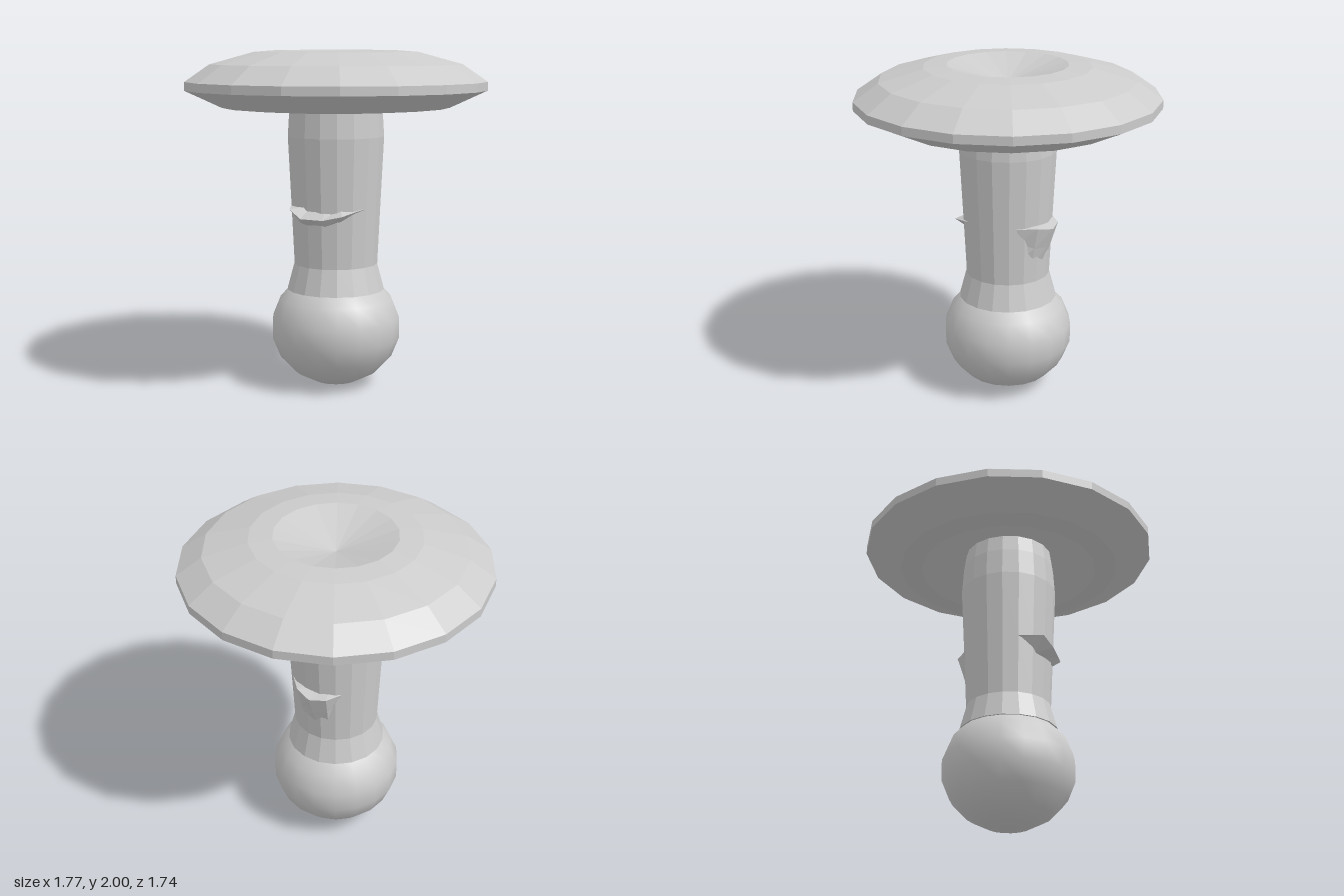
import * as THREE from 'three';

const SIDES = 18;
const flat = () => new THREE.MeshStandardMaterial({ color: 0xcccccc, flatShading: true, side: THREE.DoubleSide });

// Faceted turned part; profile runs [radius, y] from bottom to top, with a corner on +x
function turned(name, profile) {
  const geo = new THREE.LatheGeometry(profile.map(([r, y]) => new THREE.Vector2(r, y)), SIDES);
  geo.rotateY(Math.PI / 2);
  const mesh = new THREE.Mesh(geo, flat());
  mesh.name = name;
  return mesh;
}

// Torn skirt shelf: each section is an angle (degrees from +z towards +x)
// followed by [radius, y] points from the top inside edge to the bottom inside edge
function skirt(name, sections) {
  const rows = sections[0].length - 1;
  const pos = [];
  const index = [];
  for (const [deg, ...pts] of sections) {
    const a = THREE.MathUtils.degToRad(deg);
    for (const [r, y] of pts) pos.push(r * Math.sin(a), y, r * Math.cos(a));
  }
  for (let i = 0; i < sections.length - 1; i++) {
    for (let j = 0; j < rows - 1; j++) {
      const a = i * rows + j, b = a + rows;
      index.push(a, a + 1, b, b, a + 1, b + 1);
    }
  }
  const geo = new THREE.BufferGeometry();
  geo.setAttribute('position', new THREE.Float32BufferAttribute(pos, 3));
  geo.setIndex(index);
  geo.computeVertexNormals();
  const mesh = new THREE.Mesh(geo, flat());
  mesh.name = name;
  return mesh;
}

export function createModel() {
  const group = new THREE.Group();
  group.name = 'mushroom';

  // Smooth round bulb at the foot
  const bulb = new THREE.Mesh(
    new THREE.SphereGeometry(0.39, SIDES, 9),
    new THREE.MeshStandardMaterial({ color: 0xcccccc })
  );
  bulb.name = 'bulb';
  bulb.scale.y = 0.35 / 0.39;
  bulb.position.y = 0.35;
  group.add(bulb);

  // Stem, flared where it meets the bulb
  group.add(turned('stem', [
    [0.24, 0.585], [0.292, 0.585], [0.25, 0.74], [0.267, 1.1], [0.287, 1.5], [0.277, 1.66], [0.26, 1.78]
  ]));

  // Cap with hollow underside and dimpled top
  group.add(turned('cap', [
    [0.24, 1.77], [0.54, 1.66], [0.67, 1.67], [0.885, 1.77], [0.885, 1.82],
    [0.74, 1.92], [0.485, 1.99], [0.35, 2], [0, 1.89]
  ]));

  // Front skirt remnant
  const front = [
    [-50, 0.268, 1.09, 1.08], [-25, 0.335, 1.09, 1.0], [-10, 0.33, 1.04, 0.99],
    [14, 0.305, 1.035, 0.99], [35, 0.315, 1.06, 1.02], [66, 0.268, 1.09, 1.07]
  ];
  group.add(skirt('frontSkirt', front.map(([deg, r, lip, low]) =>
    [deg, [0.23, 1.1], [r, lip], [0.255, low]])));

  // Back skirt remnant, tapering further down the stem
  const back = [
    [140, 0.265, 1.09, 1.0], [163, 0.305, 1.09, 0.96], [182, 0.325, 1.07, 0.95],
    [200, 0.31, 1.08, 0.97], [218, 0.265, 1.09, 1.06]
  ];
  group.add(skirt('backSkirt', back.map(([deg, r, lip, mid]) =>
    [deg, [0.23, 1.1], [r, lip], [0.25 + (r - 0.265) * 0.55, mid], [0.24, mid - 0.12]])));

  return group;
}
